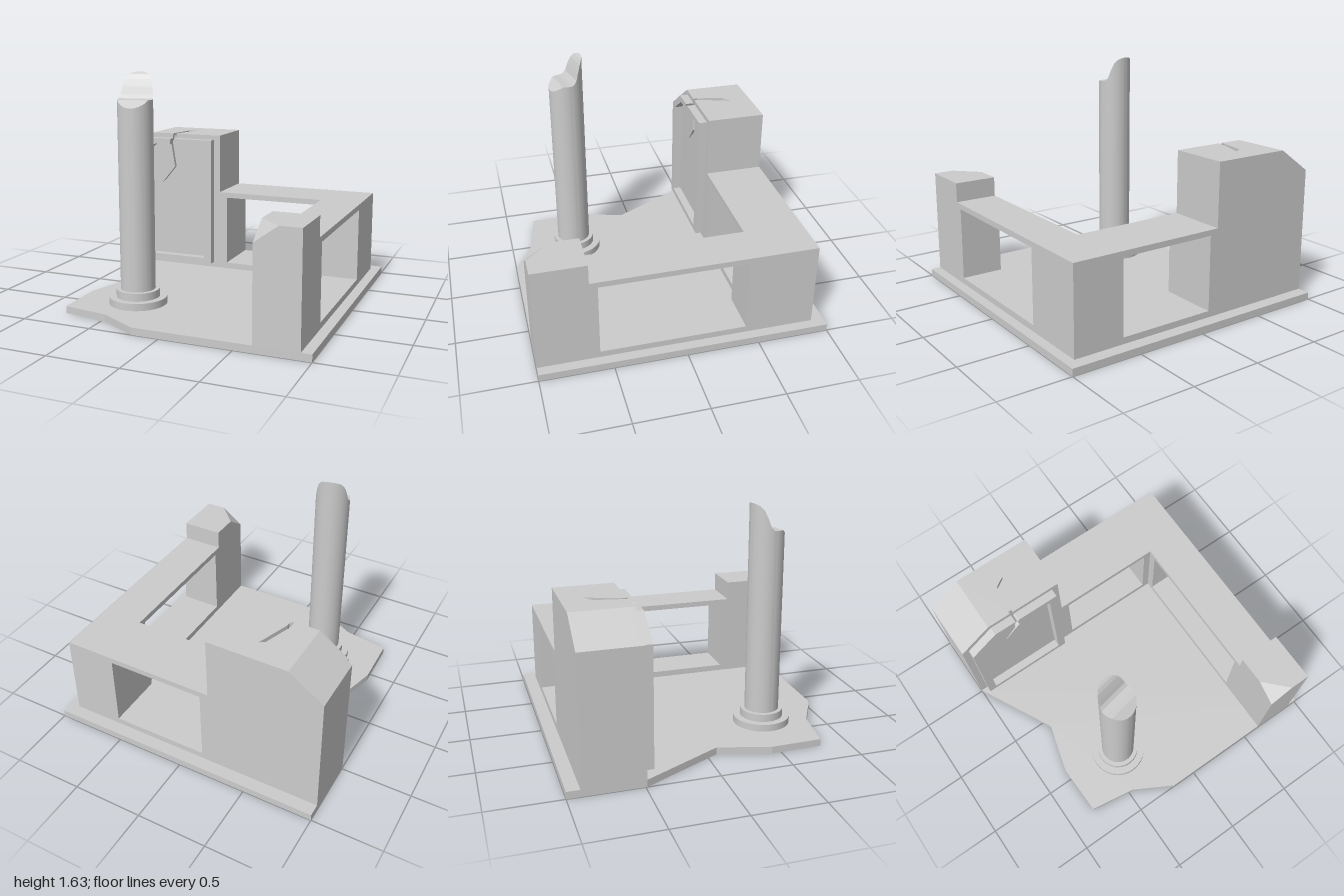
import * as THREE from 'three';
import { toCreasedNormals } from 'three/addons/utils/BufferGeometryUtils.js';
import { ConvexGeometry } from 'three/addons/geometries/ConvexGeometry.js';

const FLOOR = 0.05;

const shapeOf = (pts) => new THREE.Shape(pts.map(([x, y]) => new THREE.Vector2(x, y)));
const rect = (x0, y0, x1, y1) => [[x0, y0], [x1, y0], [x1, y1], [x0, y1]];

// Extrude an outline (with optional hole) from z0 to z1
function extrude(pts, z0, z1, hole) {
  const shape = shapeOf(pts);
  if (hole) shape.holes.push(shapeOf(hole));
  return new THREE.ExtrudeGeometry(shape, { depth: z1 - z0, bevelEnabled: false }).translate(0, 0, z0);
}

// Extrude a ground plan given as [x, z] upwards from y0 to y1
const plan = (pts, y0, y1) => extrude(pts.map(([x, z]) => [x, -z]), y0, y1).rotateX(-Math.PI / 2);

// Broken shaft: chord sections across a circle, each as high as the fracture profile
function brokenShaft(r, y0, profile) {
  const steps = 40;
  const ts = profile.map(([t]) => t);
  for (let i = 1; i < steps; i++) ts.push(-r * Math.cos((i / steps) * Math.PI));
  ts.sort((a, b) => a - b);
  const height = (t) => {
    let k = 1;
    while (k < profile.length - 1 && t > profile[k][0]) k++;
    const [a, b] = [profile[k - 1], profile[k]];
    return THREE.MathUtils.mapLinear(t, a[0], b[0], a[1], b[1]);
  };
  const pos = [], index = [];
  ts.forEach((t, i) => {
    const w = Math.sqrt(Math.max(0, r * r - t * t)), h = height(t);
    pos.push(-w, y0, t, -w, h, t, w, h, t, w, y0, t);
    if (i === 0) return;
    for (let j = 0; j < 3; j++) {
      const a = (i - 1) * 4 + j, d = i * 4 + j;
      index.push(a, d, d + 1, a, d + 1, a + 1);
    }
  });
  const geo = new THREE.BufferGeometry();
  geo.setAttribute('position', new THREE.Float32BufferAttribute(pos, 3));
  geo.setIndex(index);
  return toCreasedNormals(geo, 0.4);
}

export function createModel() {
  const model = new THREE.Group();
  model.name = 'ruin';
  const material = new THREE.MeshStandardMaterial({ color: 0xcccccc });
  const add = (name, geometry, parent = model) => {
    const mesh = new THREE.Mesh(geometry, material);
    mesh.name = name;
    parent.add(mesh);
    return mesh;
  };

  // Floor plate with broken edge
  add('floorPlate', plan([
    [-1, -1], [1, -1], [1, 1], [-0.19, 1], [-0.47, 0.845], [-0.8, 0.795],
    [-0.81, 0.43], [-0.71, 0.07], [-1, -0.49],
  ], 0, FLOOR));

  // Low walls with a window each
  add('backWall', extrude(rect(-0.19, FLOOR, 0.625, 0.66), -0.91, -0.49, rect(-0.13, 0.095, 0.57, 0.62)));
  add('sideWall', extrude(rect(-0.635, FLOOR, 0.91, 0.66), 0.625, 0.93, rect(-0.58, 0.095, 0.43, 0.62))
    .rotateY(Math.PI / 2));

  // Corner post with one chipped corner
  const post = [];
  for (const [x, z] of [[0.625, 0.635], [0.93, 0.635], [0.93, 1], [0.625, 1]]) {
    post.push(new THREE.Vector3(x, FLOOR, z));
    if (x > 0.7 || z < 0.7) post.push(new THREE.Vector3(x, 0.8, z));
  }
  post.push(new THREE.Vector3(0.785, 0.8, 1), new THREE.Vector3(0.625, 0.685, 1), new THREE.Vector3(0.625, 0.8, 0.835));
  add('cornerPost', new ConvexGeometry(post));

  // Tall block: core, plus thin skins on the top and front that hold the crack
  const tall = new THREE.Group();
  tall.name = 'tallBlock';
  model.add(tall);
  const skin = 0.03, top = 1.105, front = -0.49;
  add('blockCore', extrude([
    [-1, FLOOR], [-0.19, FLOOR], [-0.19, top - skin], [-0.76, top - skin], [-0.76, top], [-1, 0.935],
  ], -0.91, front - skin), tall);
  add('crackedTop', plan([
    [-0.76, -0.91], [-0.19, -0.91], [-0.19, front - skin], [-0.56, front - skin], [-0.48, -0.755],
    [-0.55, -0.71], [-0.585, front - skin], [-0.76, front - skin],
  ], top - skin, top), tall);
  add('crackedFront', extrude([
    [-1, FLOOR], [-0.19, FLOOR], [-0.19, top], [-0.56, top], [-0.555, 1.025], [-0.54, 0.84],
    [-0.69, 0.7], [-0.575, 0.84], [-0.605, 1.025], [-0.585, top], [-0.76, top], [-1, 0.935],
  ], front - skin, front), tall);

  // Raised panel frame, split by the crack at its top
  add('panelFrame', extrude([
    [-0.58, 1.07], [-0.745, 1.07], [-0.95, 0.92], [-0.95, 0.09], [-0.24, 0.09], [-0.24, 1.07],
    [-0.55, 1.07], [-0.565, 1.05], [-0.555, 1.025], [-0.3, 1.025], [-0.3, 0.13], [-0.89, 0.13],
    [-0.89, 0.9], [-0.72, 1.025], [-0.59, 1.025], [-0.59, 1.05],
  ], front, -0.43), tall);

  // Broken column on a stepped round base
  const column = new THREE.Group();
  column.name = 'column';
  column.position.set(-0.385, 0, 0.525);
  model.add(column);
  for (const [name, r, y0, y1] of [['lowerRing', 0.2, FLOOR, 0.1], ['upperRing', 0.15, 0.1, 0.155]]) {
    add(name, new THREE.CylinderGeometry(r, r, y1 - y0, 48).translate(0, (y0 + y1) / 2, 0), column);
  }
  add('brokenShaft', brokenShaft(0.12, 0.15, [
    [-0.12, 1.635], [-0.1, 1.62], [-0.08, 1.59], [-0.06, 1.54], [-0.042, 1.485], [-0.02, 1.46],
    [0, 1.455], [0.057, 1.455], [0.12, 1.405],
  ]), column).rotation.y = 0.2;

  return model;
}
